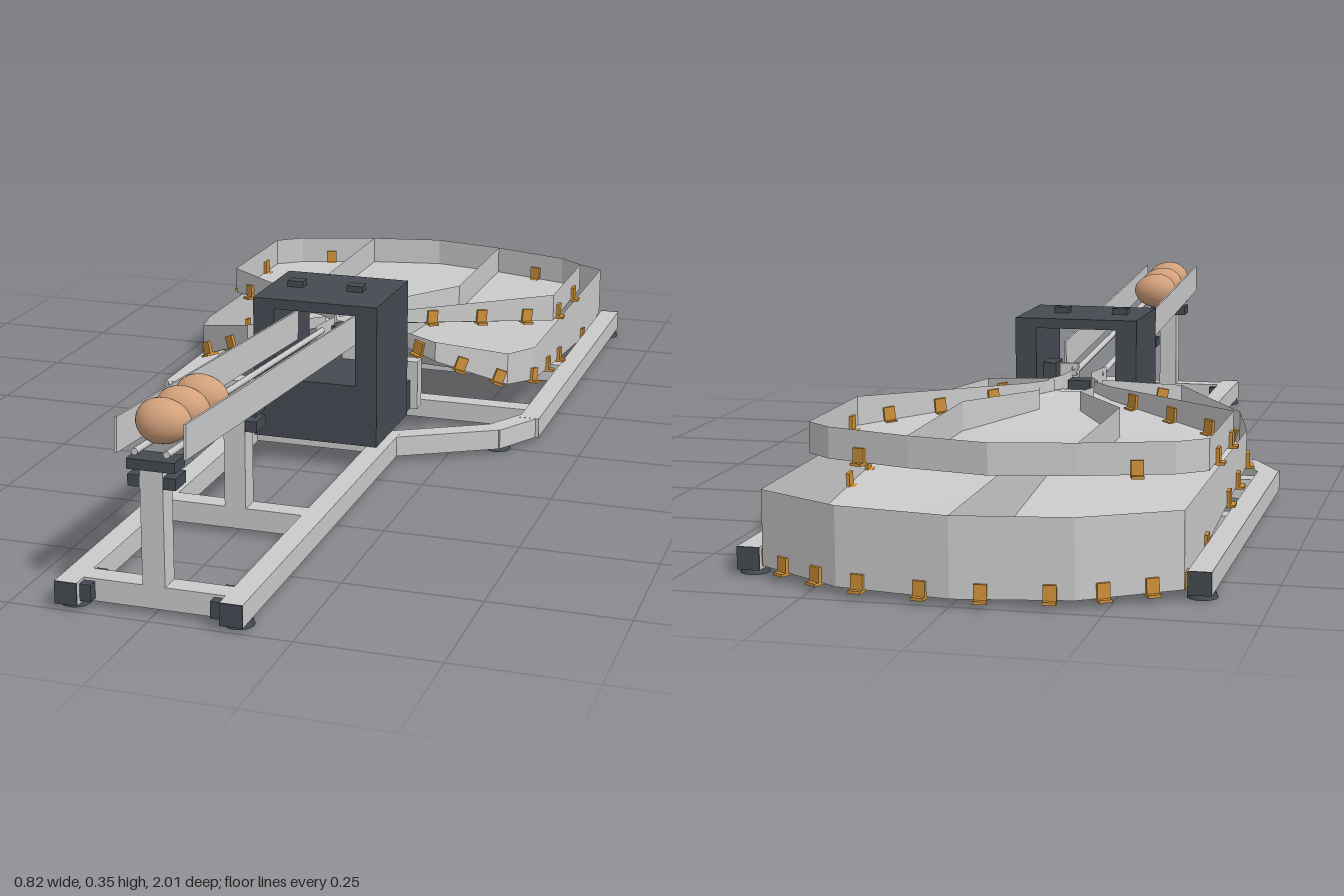
import * as THREE from 'three';

const mat = (name, color, side = THREE.FrontSide) => {
  const m = new THREE.MeshStandardMaterial({ color, side });
  m.name = name;
  return m;
};

export function createModel() {
  const root = new THREE.Group();
  root.name = 'eggSorter';
  const grey = mat('lightGrey', 0xcbcbcb);
  const sheet = mat('sheetGrey', 0xcbcbcb, THREE.DoubleSide);
  const dark = mat('charcoal', 0x454b52);
  const amber = mat('amber', 0xd0923a);
  const shell = mat('eggShell', 0xd3a17b);
  sheet.flatShading = true;

  const add = (name, geo, m, x = 0, y = 0, z = 0, parent = root) => {
    const mesh = new THREE.Mesh(geo, m);
    mesh.name = name;
    mesh.position.set(x, y, z);
    parent.add(mesh);
    return mesh;
  };
  // box given by its minimum and maximum on each axis
  const box = (name, m, x0, x1, y0, y1, z0, z1) =>
    add(name, new THREE.BoxGeometry(x1 - x0, y1 - y0, z1 - z0), m,
      (x0 + x1) / 2, (y0 + y1) / 2, (z0 + z1) / 2);
  // bar running between two points
  const beam = (name, m, a, b, w, h) => {
    const A = new THREE.Vector3(...a), B = new THREE.Vector3(...b);
    const mesh = add(name, new THREE.BoxGeometry(w, h, A.distanceTo(B)), m);
    mesh.position.copy(A).add(B).multiplyScalar(0.5);
    mesh.lookAt(B);
    return mesh;
  };
  // surface from triangles of points
  const surface = (name, tris, m = sheet) => {
    const g = new THREE.BufferGeometry();
    g.setAttribute('position', new THREE.Float32BufferAttribute(tris.flat(2), 3));
    g.computeVertexNormals();
    return add(name, g, m);
  };
  // upright sheet along points [x, bottom, z, top]
  const wall = (name, pts) => {
    const tris = [];
    for (let i = 0; i + 1 < pts.length; i++) {
      const [a, b] = [pts[i], pts[i + 1]];
      const lo = p => [p[0], p[1], p[2]], hi = p => [p[0], p[3], p[2]];
      tris.push([lo(a), lo(b), hi(b)], [lo(a), hi(b), hi(a)]);
    }
    return surface(name, tris);
  };
  // amber clips along the foot of a wall segment
  const clips = (a, b, ts) => ts.forEach(t => {
    const p = new THREE.Vector3(a[0], a[1], a[2]).lerp(new THREE.Vector3(b[0], b[1], b[2]), t);
    const c = add('clip', new THREE.BoxGeometry(0.012, 0.03, 0.022), amber, p.x, p.y + 0.011, p.z);
    c.lookAt(new THREE.Vector3(b[0], b[1] + 0.011, b[2]));
    add('clipFoot', new THREE.BoxGeometry(0.03, 0.005, 0.022), amber, 0, -0.013, 0, c);
  });

  // base frame
  for (const s of [-1, 1]) {
    box('frontRail', grey, s * 0.145 - 0.02, s * 0.145 + 0.02, 0.01, 0.05, 0.115, 0.997);
    beam('angledRail', grey, [s * 0.14, 0.03, 0.13], [s * 0.335, 0.03, 0.018], 0.04, 0.0396);
    beam('cornerRail', grey, [s * 0.33, 0.03, 0.025], [s * 0.384, 0.03, -0.07], 0.04, 0.0392);
    box('sideRail', grey, s * 0.385 - 0.02, s * 0.385 + 0.02, 0.01, 0.05, -0.88, -0.055);
    box('railCap', dark, s * 0.145 - 0.02, s * 0.145 + 0.02, 0.01, 0.05, 0.997, 1);
    box('railCap', dark, s * 0.385 - 0.02, s * 0.385 + 0.02, 0.01, 0.05, -0.883, -0.88);
    for (const [x, z] of [[0.145, 0.96], [0.335, 0.0], [0.385, -0.85]])
      add('foot', new THREE.CylinderGeometry(0.022, 0.026, 0.01, 16), dark, s * x, 0.005, z);
    for (const z of [0.925, 0.98])
      box('bracket', dark, s * 0.115 - 0.01, s * 0.115 + 0.01, 0.015, 0.045, z - 0.01, z + 0.008);
    box('trayUpright', grey, s * 0.14 - 0.015, s * 0.14 + 0.015, 0.05, 0.15, -0.07, -0.04);
  }
  for (const z of [0.95, 0.575]) box('crossBar', grey, -0.125, 0.125, 0.01, 0.05, z - 0.02, z + 0.02);
  box('towerBar', grey, -0.14, 0.14, 0.012, 0.05, 0.1, 0.14);
  for (const z of [-0.13, -0.45]) box('trayBar', grey, -0.365, 0.365, 0.01, 0.048, z - 0.02, z + 0.02);

  // feed ramp with its posts
  for (const [z, top] of [[0.95, 0.25], [0.575, 0.225]]) {
    box('post', grey, -0.02, 0.02, 0.05, top, z - 0.02, z + 0.02);
    box('clampPlate', dark, -0.042, 0.042, top, top + 0.018, z - 0.022, z + 0.022);
    box('clampBlock', dark, -0.042, 0.042, top - 0.03, top - 0.01, z - 0.026, z + 0.019);
  }
  for (const s of [-1, 1]) {
    beam('rampSide', grey, [s * 0.06, 0.305, 0.97], [s * 0.06, 0.243, 0.08], 0.004, 0.06);
    const rod = beam('rampRod', grey, [s * 0.028, 0.28, 0.97], [s * 0.028, 0.217, 0.02], 1, 1);
    rod.geometry = new THREE.CylinderGeometry(0.006, 0.006, 0.952, 10).rotateX(Math.PI / 2);
  }

  // eggs, slightly pointed at one end
  for (const [z, y] of [[0.9, 0.312], [0.818, 0.307], [0.733, 0.302]]) {
    const g = new THREE.SphereGeometry(1, 28, 18).rotateZ(Math.PI / 2);
    const p = g.attributes.position;
    for (let i = 0; i < p.count; i++) {
      const k = 1 - 0.08 * p.getX(i);
      p.setXYZ(i, p.getX(i) * 0.048, p.getY(i) * 0.039 * k, p.getZ(i) * 0.034 * k);
    }
    g.computeVertexNormals();
    add('egg', g, shell, -0.005, y, z);
  }

  // sorting tower
  box('towerBase', dark, -0.105, 0.145, 0.05, 0.17, 0, 0.21);
  box('towerLeftWall', dark, 0.102, 0.145, 0.17, 0.31, 0, 0.21);
  box('towerRightWall', dark, -0.105, -0.062, 0.17, 0.31, 0, 0.21);
  box('towerRoof', dark, -0.105, 0.145, 0.31, 0.33, 0, 0.21);
  box('rearHousing', dark, -0.1, 0.14, 0.05, 0.11, -0.09, 0);
  box('motor', dark, 0.075, 0.102, 0.195, 0.23, 0.06, 0.12);
  for (const x of [-0.052, 0.07]) box('roofButton', dark, x - 0.016, x + 0.016, 0.33, 0.342, 0.09, 0.115);
  box('gateBlock', dark, -0.022, 0.022, 0.17, 0.215, -0.06, -0.02);
  box('gatePlate', grey, 0.022, 0.06, 0.17, 0.235, 0.03, 0.045);
  for (const s of [-1, 1])
    wall('gateArm', [[s * 0.035, 0.195, 0.04, 0.23], [s * 0.022, 0.195, -0.04, 0.23],
      [s * 0.03, 0.2, -0.08, 0.228], [s * 0.05, 0.2, -0.11, 0.225]]);

  // trays: outline points are [x, floor height, z, rim height]
  const mirror = p => [-p[0], ...p.slice(1)];
  const lower = [[0.05, 0.2, -0.07, 0.22], [0.2, 0.165, -0.01, 0.205], [0.33, 0.105, -0.09, 0.17],
    [0.36, 0.085, -0.2, 0.155], [0.36, 0.018, -0.88, 0.15], [0.2, 0.014, -0.97, 0.15], [0, 0.013, -1, 0.15]];
  const upper = [[0.04, 0.2, -0.1, 0.222], [0.085, 0.195, -0.155, 0.222], [0.36, 0.166, -0.37, 0.222],
    [0.36, 0.165, -0.64, 0.222], [0.31, 0.165, -0.68, 0.222], [0.15, 0.165, -0.73, 0.222], [0, 0.165, -0.76, 0.222]];
  const lowerMid = [0, 0.085, -0.25], lowerTop = [0, 0.2, -0.08];
  const upperMid = [0, 0.167, -0.37], upperTop = [0, 0.2, -0.1];
  for (const s of [1, -1]) {
    const side = pts => s > 0 ? pts : pts.map(mirror);
    const xyz = pts => pts.map(p => p.slice(0, 3));
    // triangles ordered so that the floor faces up on both sides
    const floor = (name, tris) => surface(name, s > 0 ? tris : tris.map(t => [t[0], t[2], t[1]]));
    const L = side(lower), U = side(upper), l = xyz(L), u = xyz(U);
    floor('lowerTrayFloor', [[l[0], l[2], l[1]].reverse(), [l[0], l[3], l[2]].reverse(),
      [lowerTop, l[0], l[3]], [lowerTop, l[3], lowerMid], [lowerMid, l[3], l[4]],
      [lowerMid, l[4], l[5]], [lowerMid, l[5], l[6]]].map(t => [t[0], t[1], t[2]]));
    floor('upperTrayFloor', [[upperTop, u[0], u[1]], [upperTop, u[1], u[2]], [upperTop, u[2], upperMid],
      ...[2, 3, 4, 5].map(i => [upperMid, u[i], u[i + 1]])]);
    wall('lowerTrayRim', L);
    wall('upperTrayRim', U);
    wall('upperDivider', side([[0.15, 0.165, -0.73, 0.222], [0.15, 0.166, -0.38, 0.222],
      [0.04, 0.18, -0.225, 0.222], [0.055, 0.19, -0.17, 0.222]]));

    // clips around both rims
    clips(l[0], l[1], [0.75]);
    clips(l[1], l[2], [0.35, 0.88]);
    clips(l[2], l[3], [0.95]);
    clips(l[3], l[4], [0.18, 0.34, 0.7, 0.97]);
    clips(l[4], l[5], [0.3, 0.75]);
    clips(l[5], l[6], [0.2, 0.75]);
    clips(u[1], u[2], [0.2, 0.52, 0.82]);
    clips(u[2], u[3], [0.15, 0.7]);
    clips(u[4], u[5], [0.4]);

    // fixing blocks below the lower floor
    for (const x of [0.09, 0.25]) for (const z of [-0.58, -0.8]) {
      const y = 0.085 - (-z - 0.2) * 0.0985;
      box('fixingBlock', dark, s * x - 0.018, s * x + 0.018, y - 0.016, y - 0.003, z - 0.015, z + 0.015);
    }
  }
  wall('lowerDivider', [[0, 0.013, -1, 0.15], [0, 0.085, -0.25, 0.155], [0, 0.17, -0.12, 0.195]]);
  return root;
}
